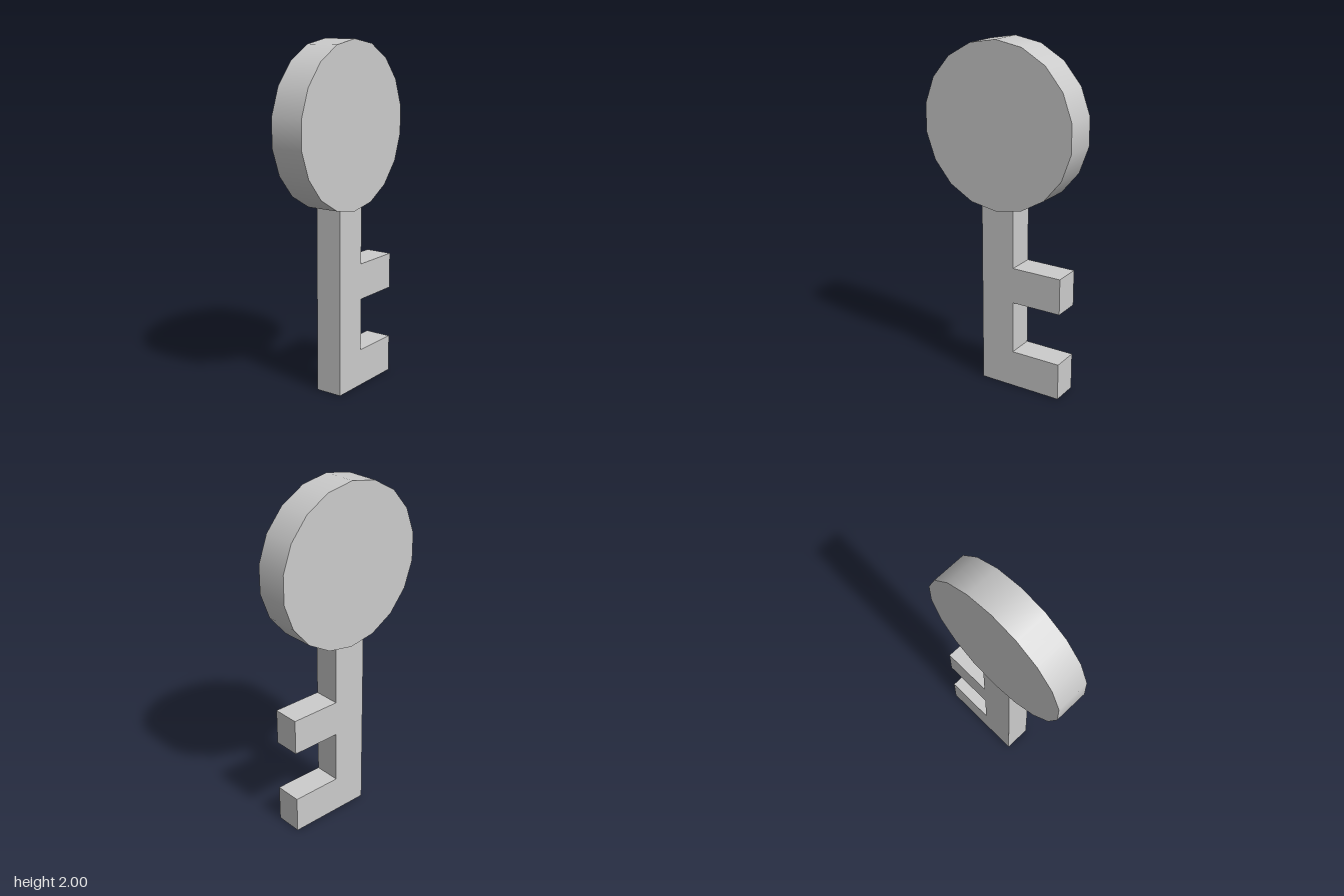
import * as THREE from 'three';

export function createModel() {
  const group = new THREE.Group();
  const material = new THREE.MeshStandardMaterial({ color: 0xcccccc });

  const add = (name, geometry) => {
    const mesh = new THREE.Mesh(geometry, material);
    mesh.name = name;
    group.add(mesh);
    return mesh;
  };

  // Round handle: an 18-sided disc lying across x, with a corner at the top
  const disc = new THREE.CylinderGeometry(0.47, 0.47, 0.196, 18, 1, false, Math.PI / 2);
  disc.rotateZ(Math.PI / 2);
  add('handleDisc', disc).position.y = 1.53;

  // Shaft with two teeth toward the back, as one (z, y) outline
  const front = 0.105, back = -0.1, tip = -0.4;
  const outline = [
    [front, 0], [front, 1.09], [back, 1.09],
    [back, 0.735], [tip, 0.735], [tip, 0.525], [back, 0.525],
    [back, 0.217], [tip, 0.217], [tip, 0],
  ];
  const thickness = 0.16;
  const shape = new THREE.Shape(outline.map(([z, y]) => new THREE.Vector2(z, y)));
  const shaft = new THREE.ExtrudeGeometry(shape, { depth: thickness, bevelEnabled: false });
  shaft.translate(0, 0, -thickness / 2);
  shaft.rotateY(-Math.PI / 2);
  add('toothedShaft', shaft).position.x = -0.003;

  return group;
}
